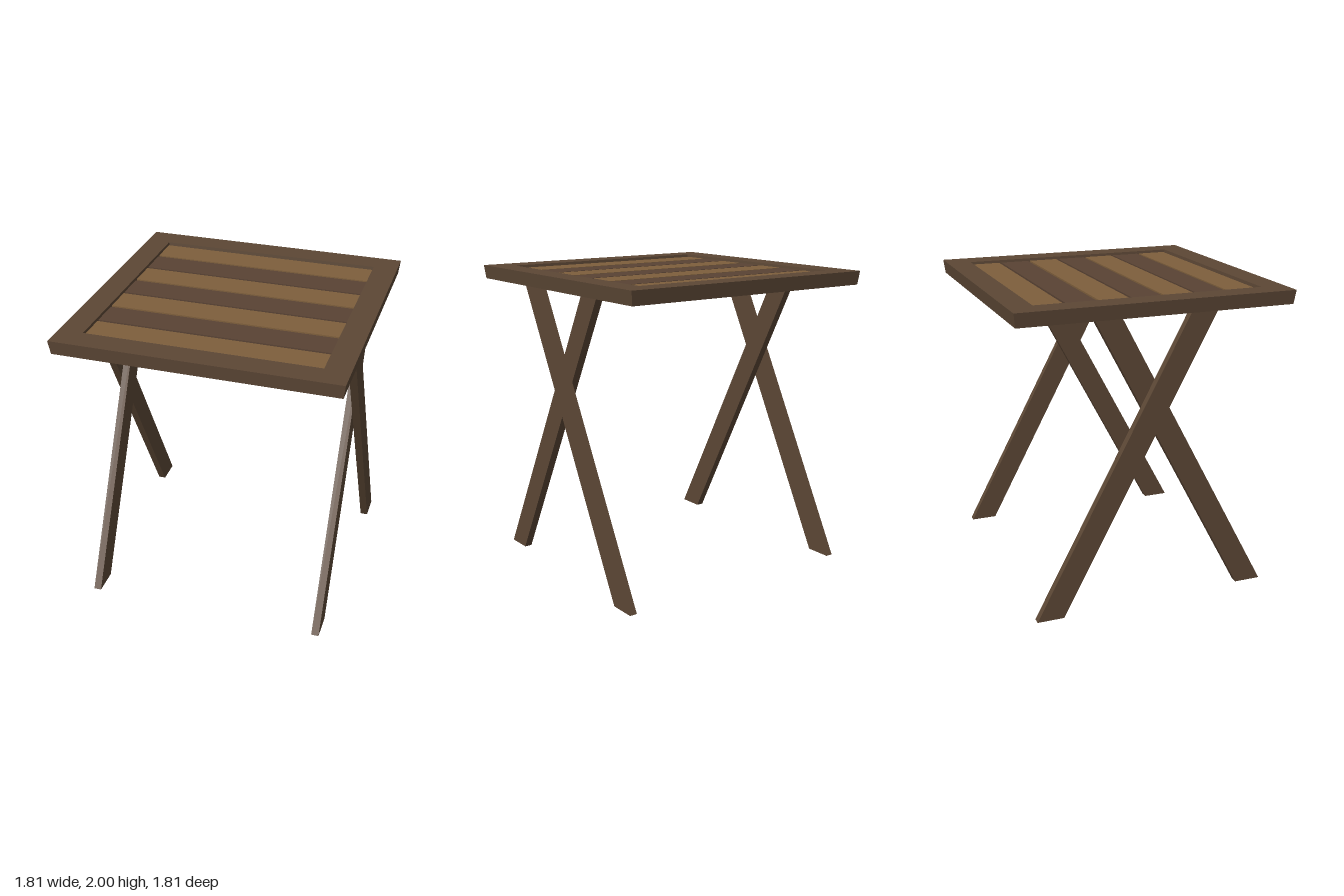
import * as THREE from 'three';

const paint = (name, color) => {
  const m = new THREE.MeshStandardMaterial({ color });
  m.name = name;
  return m;
};

export function createModel() {
  const table = new THREE.Group();
  table.name = 'foldingTable';
  const frameWood = paint('frame wood', 0x5c4735);
  const darkWood = paint('dark slat wood', 0x594334);
  const lightWood = paint('light slat wood', 0x7e5f3c);

  const add = (name, geometry, material, x = 0, y = 0, z = 0) => {
    const mesh = new THREE.Mesh(geometry, material);
    mesh.name = name;
    mesh.position.set(x, y, z);
    table.add(mesh);
    return mesh;
  };

  // Square top frame, tapering slightly toward its underside
  const top = 2, bottom = 1.91, outer = 0.905, inner = 0.745;
  const square = (r) => [[-r, -r], [r, -r], [r, r], [-r, r]].map(([x, y]) => new THREE.Vector2(x, y));
  const frameShape = new THREE.Shape(square(outer));
  frameShape.holes.push(new THREE.Path(square(inner).reverse()));
  const frame = new THREE.ExtrudeGeometry(frameShape, { depth: top - bottom, bevelEnabled: false });
  frame.rotateX(-Math.PI / 2);
  const p = frame.attributes.position;
  for (let i = 0; i < p.count; i++) {
    if (p.getY(i) < 0.01) p.setXYZ(i, p.getX(i) * 0.988, p.getY(i), p.getZ(i) * 0.988);
  }
  frame.computeVertexNormals();
  add('topFrame', frame, frameWood, 0, bottom, 0);

  // Seven slats in alternating wood, set just below the rim
  const pitch = 0.212;
  for (let i = 0; i < 7; i++) {
    const slat = new THREE.BoxGeometry(1.486, 0.055, 0.195);
    add('slat' + (i + 1), slat, i % 2 ? darkWood : lightWood, 0, 1.955, (i - 3) * pitch);
  }

  // Crossed legs: cut level at floor and frame; side +1 puts the foot at the front
  const legGeometry = (side) => {
    const points = [[0.62, 0], [0.795, 0], [-0.22, bottom], [-0.395, bottom]];
    const shape = new THREE.Shape(points.map(([z, y]) => new THREE.Vector2(z * side, y)));
    const g = new THREE.ExtrudeGeometry(shape, { depth: 0.05, bevelEnabled: false });
    g.translate(0, 0, -0.025);
    g.rotateY(-Math.PI / 2);
    return g;
  };
  for (const s of [-1, 1]) {
    const label = s > 0 ? 'left' : 'right';
    add(label + 'InnerLeg', legGeometry(1), frameWood, s * 0.785);
    add(label + 'OuterLeg', legGeometry(-1), frameWood, s * 0.835);
  }
  return table;
}
